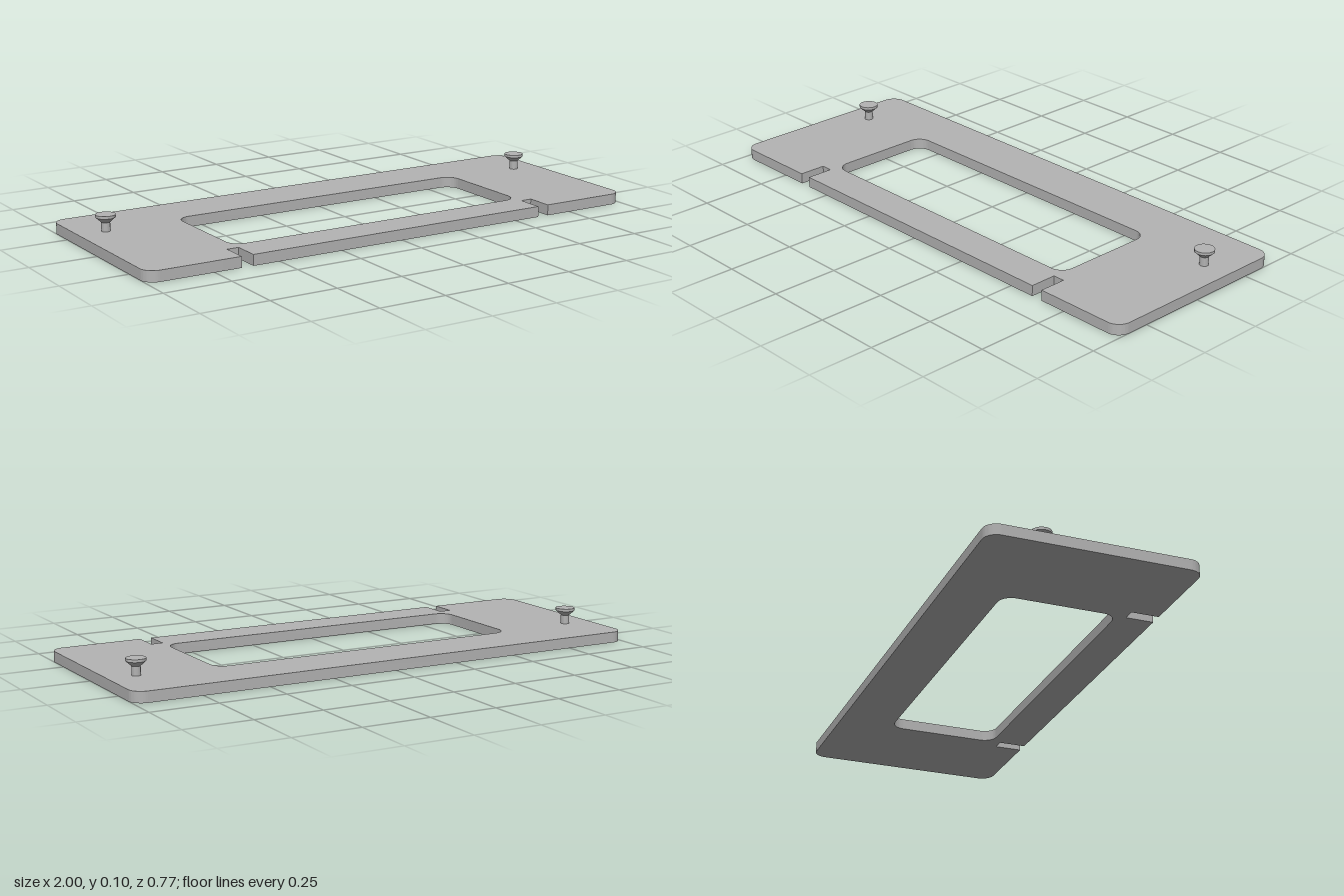
import * as THREE from 'three';
import { toCreasedNormals } from 'three/addons/utils/BufferGeometryUtils.js';

const THICK = 0.04;
const HALF_W = 1, HALF_D = 0.383, CORNER = 0.05;
const SLOT_IN = 0.603, SLOT_OUT = 0.647, SLOT_END = 0.28;

// Outline in (x, z): rounded rectangle with two slots cut into the front edge
function plateOutline() {
  const s = new THREE.Shape();
  const w = HALF_W - CORNER, d = HALF_D - CORNER;
  s.moveTo(-w, -HALF_D);
  s.absarc(w, -d, CORNER, -Math.PI / 2, 0);
  s.absarc(w, d, CORNER, 0, Math.PI / 2);
  for (const [a, b] of [[SLOT_OUT, SLOT_IN], [-SLOT_IN, -SLOT_OUT]]) {
    s.lineTo(a, HALF_D);
    s.lineTo(a, SLOT_END);
    s.lineTo(b, SLOT_END);
    s.lineTo(b, HALF_D);
  }
  s.absarc(-w, d, CORNER, Math.PI / 2, Math.PI);
  s.absarc(-w, -d, CORNER, Math.PI, Math.PI * 1.5);
  return s;
}

// Rounded window opening, slightly closer to the front edge
function windowHole() {
  const h = new THREE.Path();
  const x = 0.605, z0 = -0.178, z1 = 0.245, r = 0.05;
  h.absarc(x - r, z0 + r, r, -Math.PI / 2, 0);
  h.absarc(x - r, z1 - r, r, 0, Math.PI / 2);
  h.absarc(-x + r, z1 - r, r, Math.PI / 2, Math.PI);
  h.absarc(-x + r, z0 + r, r, Math.PI, Math.PI * 1.5);
  h.closePath();
  return h;
}

export function createModel() {
  const group = new THREE.Group();
  group.name = 'slottedFramePlate';
  const grey = new THREE.MeshStandardMaterial({ color: 0xb3b3b3 });
  grey.name = 'plain grey';

  // Flat plate
  const shape = plateOutline();
  shape.holes.push(windowHole());
  const plateGeo = new THREE.ExtrudeGeometry(shape, { depth: THICK, bevelEnabled: false, curveSegments: 10 });
  plateGeo.rotateX(Math.PI / 2).translate(0, THICK, 0);
  const plate = new THREE.Mesh(toCreasedNormals(plateGeo, 0.5), grey);
  plate.name = 'framePlate';
  group.add(plate);

  // Countersunk-head pegs standing on the plate
  const profile = [[0.016, THICK - 0.005], [0.016, 0.073], [0.036, 0.091], [0.036, 0.101], [0, 0.101]]
    .map(([r, y]) => new THREE.Vector2(r, y));
  const pegGeo = toCreasedNormals(new THREE.LatheGeometry(profile, 32), 0.5);
  for (const side of [-1, 1]) {
    const peg = new THREE.Mesh(pegGeo, grey);
    peg.name = side > 0 ? 'leftPeg' : 'rightPeg';
    peg.position.set(side * 0.894, 0, -0.154);
    group.add(peg);
  }
  return group;
}
